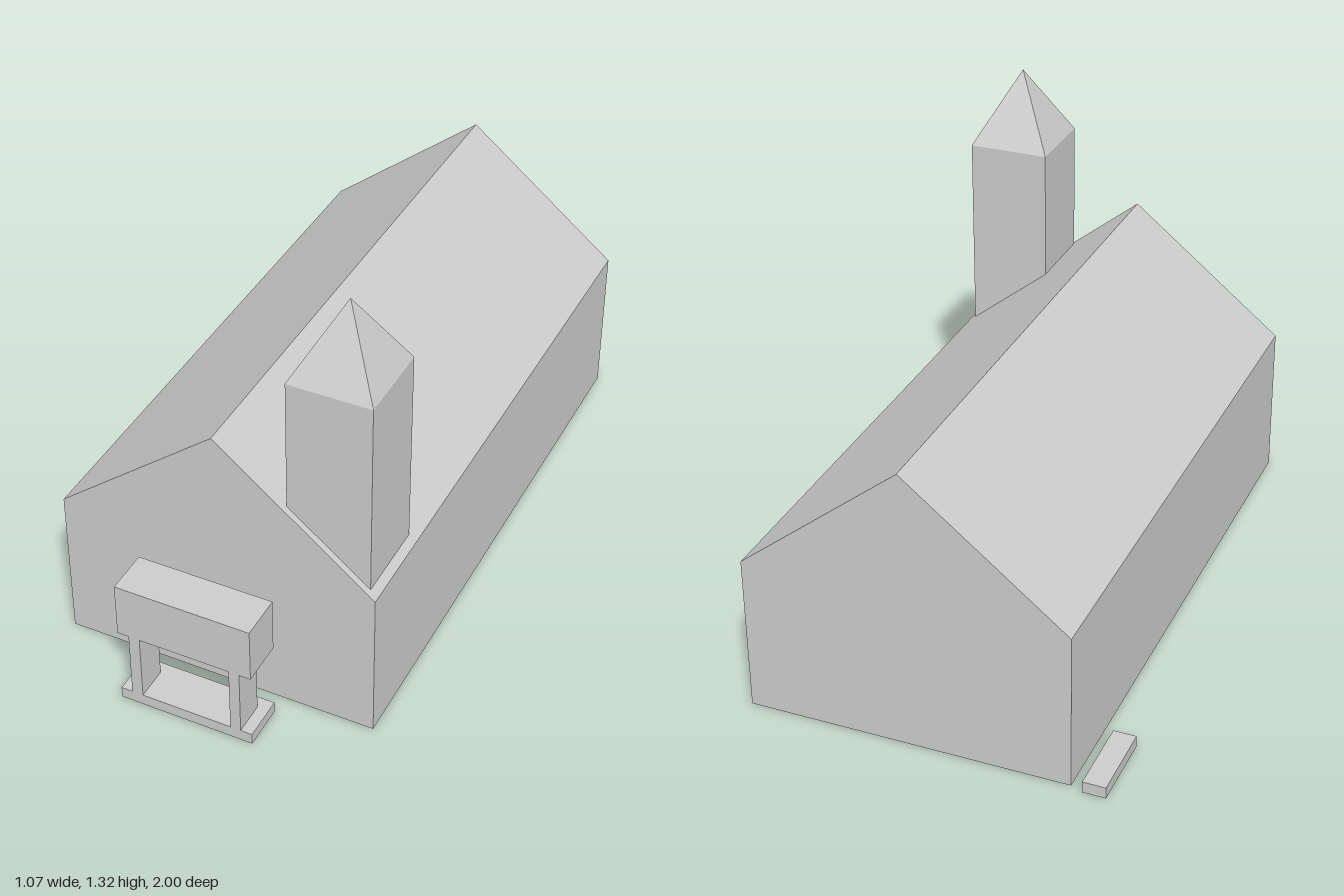
import * as THREE from 'three';

const stone = new THREE.MeshStandardMaterial({ color: 0xcccccc, side: THREE.DoubleSide, flatShading: true });
stone.name = 'paleGrey';

// Roof line of the nave, shared by the shell and the tower foot
const LEFT = 0.53, RIGHT = -0.43, RIDGE_X = 0.05, EAVE = 0.475, RIDGE = 0.86;
const roofY = x => RIDGE - (RIDGE - EAVE) * (x - RIDGE_X) / (LEFT - RIDGE_X);

function add(parent, name, geometry) {
  const mesh = new THREE.Mesh(geometry, stone);
  mesh.name = name;
  parent.add(mesh);
  return mesh;
}

// Box given by its limits; `open` lists the sides left out (2 = top, 3 = bottom)
function box([x0, x1], [y0, y1], [z0, z1], open = []) {
  const g = new THREE.BoxGeometry(x1 - x0, y1 - y0, z1 - z0);
  g.translate((x0 + x1) / 2, (y0 + y1) / 2, (z0 + z1) / 2);
  g.setIndex([...g.index.array].filter((_, i) => !open.includes(Math.floor(i / 6))));
  g.clearGroups();
  return g;
}

// Flat polygons, each a convex loop of points, counter-clockwise from outside
function faces(polygons) {
  const pos = [];
  for (const p of polygons)
    for (let i = 1; i < p.length - 1; i++) pos.push(...p[0], ...p[i], ...p[i + 1]);
  const g = new THREE.BufferGeometry();
  g.setAttribute('position', new THREE.Float32BufferAttribute(pos, 3));
  g.computeVertexNormals();
  return g;
}

export function createModel() {
  const model = new THREE.Group();
  model.name = 'church';

  // Nave: hollow shell with gables, walls and roof slopes, open below
  const nave = new THREE.Group();
  nave.name = 'nave';
  model.add(nave);
  const profile = [[RIGHT, 0], [LEFT, 0], [LEFT, EAVE], [RIDGE_X, RIDGE], [RIGHT, EAVE]];
  const front = profile.map(([x, y]) => [x, y, 0.805]);
  const back = profile.map(([x, y]) => [x, y, -0.985]);
  add(nave, 'frontGable', faces([front]));
  add(nave, 'backGable', faces([[...back].reverse()]));
  ['leftWall', 'leftRoof', 'rightRoof', 'rightWall'].forEach((name, k) => {
    const a = k + 1, b = (k + 2) % 5;
    add(nave, name, faces([[front[a], back[a], back[b], front[b]]]));
  });

  // Tower: its foot follows the roof slope
  const tower = new THREE.Group();
  tower.name = 'tower';
  model.add(tower);
  const shaft = box([0.26, 0.507], [0, 1.095], [0.537, 0.785], [2, 3]);
  const p = shaft.attributes.position;
  for (let i = 0; i < p.count; i++) if (p.getY(i) < 0.5) p.setY(i, roofY(p.getX(i)));
  add(tower, 'towerShaft', shaft);
  const spire = new THREE.ConeGeometry(0.124 * Math.SQRT2, 0.225, 4, 1, true);
  spire.rotateY(Math.PI / 4);
  add(tower, 'spire', spire).position.set(0.3835, 1.2075, 0.661);

  // Entrance portal: step, two posts and a deep lintel
  const portal = new THREE.Group();
  portal.name = 'portal';
  model.add(portal);
  add(portal, 'step', box([-0.157, 0.255], [0, 0.035], [0.865, 1], [3]));
  add(portal, 'rightPost', box([-0.122, -0.088], [0.035, 0.245], [0.9, 1], [2, 3]));
  add(portal, 'leftPost', box([0.188, 0.22], [0.035, 0.245], [0.9, 1], [2, 3]));
  add(portal, 'lintel', box([-0.157, 0.255], [0.245, 0.415], [0.865, 1]));

  // Low slab beside the back corner
  add(model, 'sideSlab', box([-0.535, -0.467], [0, 0.035], [-1, -0.765], [3]));

  return model;
}
